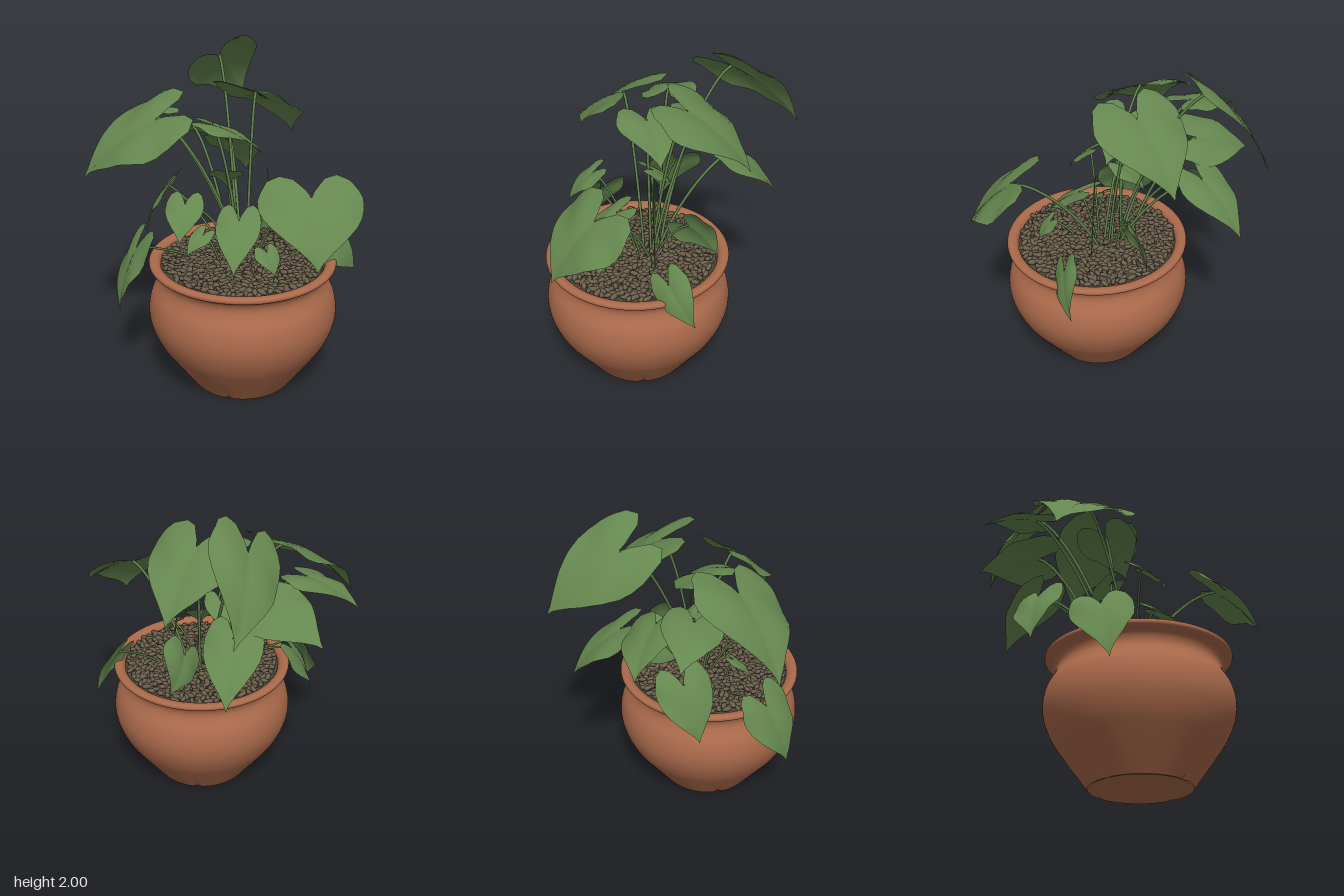
import * as THREE from 'three';
import { mergeGeometries } from 'three/addons/utils/BufferGeometryUtils.js';

const mat = (name, color, side = THREE.FrontSide) => {
  const m = new THREE.MeshStandardMaterial({ color, side });
  m.name = name;
  return m;
};
const CX = 0.11, CZ = 0.22; // pot centre

// small seeded random
let seed = 7;
const rnd = () => {
  seed = (seed * 16807) % 2147483647;
  return seed / 2147483647;
};

// heart outline: [distance from midrib, back edge, front edge]
const HEART = [[0, 0, 1], [0.08, -0.1, 0.91], [0.3, -0.28, 0.76], [0.55, -0.34, 0.61], [0.8, -0.26, 0.43], [0.94, -0.1, 0.28], [1, 0, 0.14]];
function heartSpan(v) {
  let i = 1;
  while (i < HEART.length - 1 && HEART[i][0] < v) i++;
  const [a, b] = [HEART[i - 1], HEART[i]];
  const t = (v - a[0]) / (b[0] - a[0]);
  return [a[1] + (b[1] - a[1]) * t, a[2] + (b[2] - a[2]) * t];
}

// heart-shaped blade from the stalk joint to the tip, rolled about its midrib
function bladeGeometry(base, tip, wid, roll) {
  const axis = tip.clone().sub(base), len = axis.length();
  const level = new THREE.Vector3(-axis.z, 0, axis.x).normalize();
  const half = level.applyAxisAngle(axis.clone().normalize(), -roll).multiplyScalar(wid);
  const n = half.clone().cross(axis).normalize();
  if (n.y < 0) n.negate();
  const cols = [0.08, 0.18, 0.3, 0.42, 0.55, 0.68, 0.8, 0.88, 0.94, 1];
  const vs = [...cols.map((c) => -c).reverse(), 0, ...cols];
  const rows = 10, pos = [], idx = [];
  vs.forEach((v, i) => {
    const a = Math.abs(v), [back, front] = heartSpan(a);
    for (let j = 0; j <= rows; j++) {
      const u = back + ((front - back) * j) / rows;
      const lift = 0.28 * len * u * (1 - u) + wid * (0.2 * a - 0.32 * a * a + 0.05 * a * Math.sin(u * 9 + v * 4));
      const p = base.clone().addScaledVector(axis, u).addScaledVector(half, v).addScaledVector(n, lift);
      pos.push(p.x, p.y, p.z);
      if (i && j) {
        const q = i * (rows + 1) + j, r = q - rows - 1;
        idx.push(r - 1, q - 1, q, r - 1, q, r);
      }
    }
  });
  const g = new THREE.BufferGeometry();
  g.setAttribute('position', new THREE.Float32BufferAttribute(pos, 3));
  g.setIndex(idx);
  g.computeVertexNormals();
  return g;
}

// each leaf: joint x y z, tip x y z, half width, roll
const LEAVES = [
  [-0.21, 1.84, -0.37, -0.17, 1.47, -0.78, 0.23, 0.72],
  [0.1, 1.72, -0.08, 0.24, 1.38, -0.43, 0.27, 0],
  [-0.33, 1.43, -0.2, -0.64, 1.27, -0.38, 0.2, -0.4],
  [-0.53, 1.54, -0.03, -0.83, 1.42, -0.17, 0.17, 0.17],
  [-0.4, 1.61, 0.25, -0.81, 1.25, 0.38, 0.3, 0.32],
  [0.57, 1.33, 0.48, 0.67, 1.01, 0.73, 0.29, 0.05],
  [-0.14, 1.3, -0.37, -0.12, 1, -0.66, 0.17, 0],
  [-0.48, 0.87, 0.42, -0.55, 0.5, 0.54, 0.18, -0.42],
  [-0.46, 1.08, -0.07, -0.58, 0.75, 0, 0.165, -0.37],
  [-0.1, 1.57, 0.14, 0.19, 1.4, 0.08, 0.18, 0.17],
  [0.12, 1.08, 0.34, 0.16, 0.84, 0.58, 0.13, 0],
  [-0.16, 1.2, 0.46, -0.14, 1.02, 0.62, 0.11, 0],
  [-0.02, 1.28, 0.12, -0.06, 1.13, -0.02, 0.1, 0],
  [0.61, 0.9, 0.08, 0.73, 0.67, -0.06, 0.115, 1.98],
  [0.31, 0.94, 0.42, 0.37, 0.82, 0.47, 0.08, 0],
  [0.18, 1, -0.08, 0.25, 0.82, -0.25, 0.165, 1.25],
  [-0.1, 0.96, 0.32, -0.17, 0.85, 0.42, 0.065, 0.3],
];

export function createModel() {
  const terracotta = mat('terracotta', 0xab6a4b);
  const soilMat = mat('soil', 0x4d4436);
  const pebbleMat = mat('pebble', 0x6a5f4b);
  const leafMat = mat('leafGreen', 0x65874f, THREE.DoubleSide);
  const stalkMat = mat('stalkGreen', 0x5f7f4a);
  const root = new THREE.Group();
  const add = (name, geo, m, parent = root) => {
    const mesh = new THREE.Mesh(geo, m);
    mesh.name = name;
    parent.add(mesh);
    return mesh;
  };

  // pot: flat foot, round belly, narrow neck, flared rim
  const v2 = (p) => new THREE.Vector2(...p);
  const body = new THREE.SplineCurve([[0.3, 0], [0.445, 0.2], [0.51, 0.3], [0.55, 0.4], [0.56, 0.49],
    [0.542, 0.58], [0.5, 0.655], [0.488, 0.7], [0.502, 0.74], [0.535, 0.76]].map(v2)).getPoints(44);
  const rim = new THREE.SplineCurve([[0.535, 0.76], [0.55, 0.772], [0.552, 0.788], [0.54, 0.8],
    [0.515, 0.8], [0.49, 0.785], [0.475, 0.74]].map(v2)).getPoints(24);
  const foot = [[0, 0.008], [0.27, 0.008], [0.285, 0], [0.3, 0]].map(v2);
  const potGeo = new THREE.LatheGeometry([...foot, ...body, ...rim], 120);
  // four shallow notches, fading out at the foot edge and above
  const pp = potGeo.attributes.position;
  for (let i = 0; i < pp.count; i++) {
    const x = pp.getX(i), y = pp.getY(i), z = pp.getZ(i), r = Math.hypot(x, z);
    if (y > 0.14 || r < 0.29) continue;
    const off = Math.min(Math.abs(x), Math.abs(z)) / r;
    const k = 1 - 0.05 * (1 - y / 0.14) * Math.max(0, 1 - off / 0.09);
    pp.setXYZ(i, x * k, y, z * k);
  }
  potGeo.computeVertexNormals();
  add('pot', potGeo, terracotta).position.set(CX, 0, CZ);

  // soil bed
  const soil = add('soil', new THREE.CircleGeometry(0.485, 64).rotateX(-Math.PI / 2), soilMat);
  soil.position.set(CX, 0.77, CZ);

  // pebbles spread in a jittered sunflower pattern
  const pebbles = [];
  const COUNT = 700;
  for (let i = 0; i < COUNT; i++) {
    const r = 0.465 * Math.sqrt((i + 0.5) / COUNT), a = i * 2.39996 + (rnd() - 0.5) * 0.02 / r;
    const g = new THREE.SphereGeometry(1, 7, 5);
    g.scale(0.025 + rnd() * 0.012, 0.011 + rnd() * 0.005, 0.013 + rnd() * 0.006);
    g.rotateZ((rnd() - 0.5) * 0.7).rotateY(rnd() * Math.PI);
    g.translate(CX + r * Math.cos(a), 0.773 + rnd() * 0.018, CZ + r * Math.sin(a));
    pebbles.push(g);
  }
  add('pebbles', mergeGeometries(pebbles), pebbleMat);

  // leaves, each with an arching stalk from the crown; low ones root further out
  LEAVES.forEach(([bx, by, bz, tx, ty, tz, wid, roll], i) => {
    const leaf = new THREE.Group();
    leaf.name = 'leaf' + (i + 1);
    const base = new THREE.Vector3(bx, by, bz), tip = new THREE.Vector3(tx, ty, tz);
    add('blade', bladeGeometry(base, tip, wid, roll), leafMat, leaf);
    const spread = by < 1 ? 0.4 : 0.1;
    const start = new THREE.Vector3(0.07 + 0.12 * (rnd() - 0.5) + bx * spread, 0.76, 0.13 + 0.1 * (rnd() - 0.5) + bz * spread);
    const rise = by - start.y;
    const c1 = start.clone().lerp(base, 0.25).setY(start.y + rise * 0.55);
    const c2 = start.clone().lerp(base, 0.75).setY(start.y + rise * 0.98);
    const path = new THREE.CubicBezierCurve3(start, c1, c2, base);
    add('stalk', new THREE.TubeGeometry(path, 20, by > 1.25 ? 0.009 : 0.007, 6), stalkMat, leaf);
    root.add(leaf);
  });

  // bare thin shoot
  const shoot = new THREE.QuadraticBezierCurve3(
    new THREE.Vector3(0.29, 0.77, 0.13), new THREE.Vector3(0.26, 1.05, 0.13), new THREE.Vector3(0.23, 1.34, 0.13));
  add('bareShoot', new THREE.TubeGeometry(shoot, 12, 0.004, 5), stalkMat);
  return root;
}
